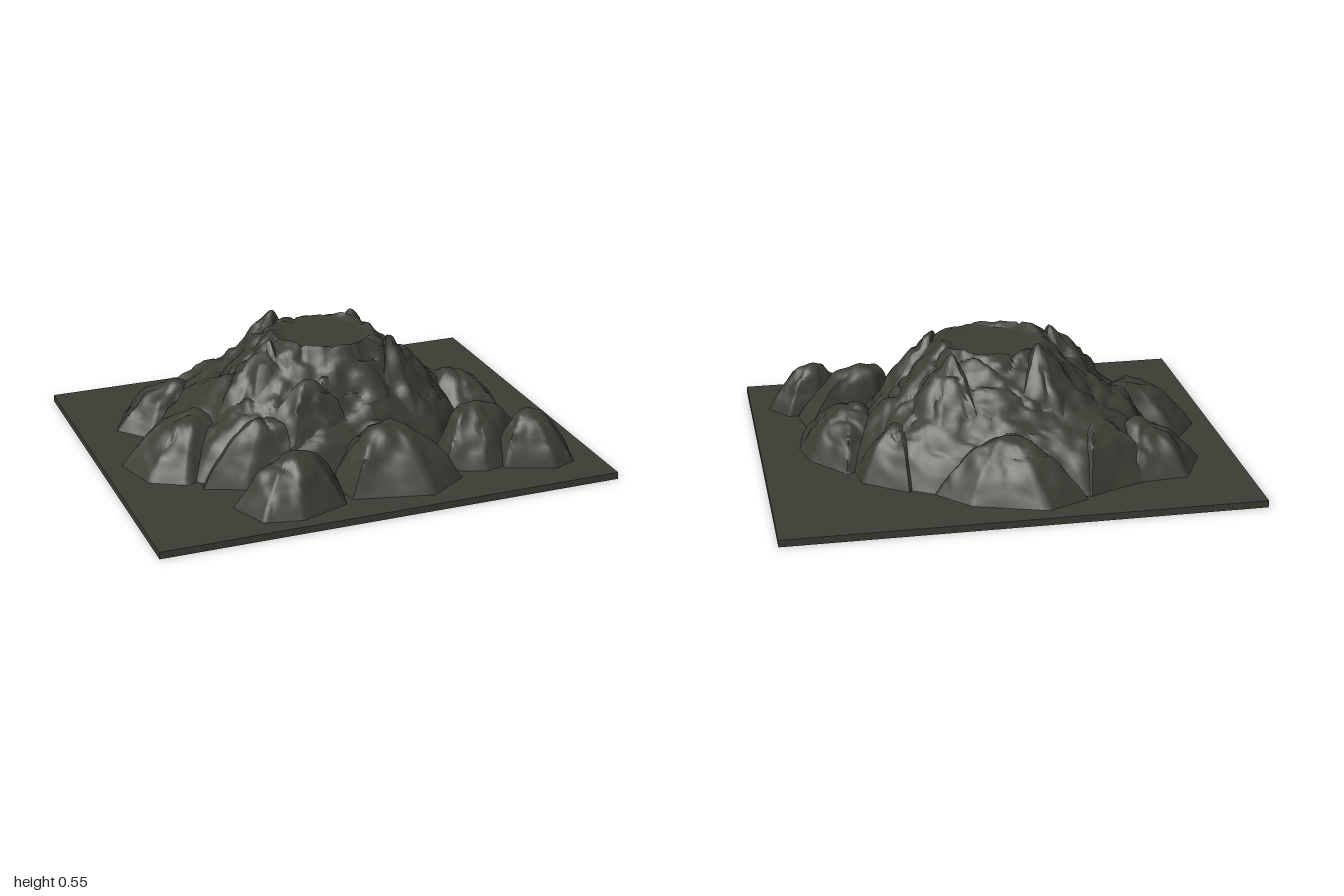
import * as THREE from 'three';
import { toCreasedNormals } from 'three/addons/utils/BufferGeometryUtils.js';

const GROUND = 0.03;
const stone = new THREE.MeshStandardMaterial({ color: 0x3d3c34 });
stone.name = 'dark stone';

// Seeded value noise, -1 to 1
function hash(x, y, z) {
  const s = Math.sin(x * 127.1 + y * 311.7 + z * 74.7) * 43758.5453;
  return (s - Math.floor(s)) * 2 - 1;
}
function noise(x, y, z) {
  const c = [x, y, z].map(Math.floor);
  const [u, v, w] = [x - c[0], y - c[1], z - c[2]].map((f) => f * f * (3 - 2 * f));
  let sum = 0;
  for (let i = 0; i < 8; i++) {
    const a = i & 1, b = (i >> 1) & 1, d = i >> 2;
    sum += hash(c[0] + a, c[1] + b, c[2] + d) * (a ? u : 1 - u) * (b ? v : 1 - v) * (d ? w : 1 - w);
  }
  return sum;
}
// Lumps cut by narrow cracks
function rough(x, y, z) {
  const crack = Math.max(0, 1 - Math.abs(noise(x * 9 + 4, y * 12, z * 9)) * 6);
  return 0.6 * noise(x * 9, y * 9, z * 9) + 0.5 * noise(x * 19, y * 19, z * 19) - 0.4 * crack;
}

// Straight-edged outline split into equal steps
function outlinePoints(outline, steps) {
  const out = [];
  outline.forEach(([x, z], i) => {
    const [nx, nz] = outline[(i + 1) % outline.length];
    for (let s = 0; s < steps; s++) out.push([x + ((nx - x) * s) / steps, z + ((nz - z) * s) / steps]);
  });
  return out;
}

// Skin from an inner circle out to an outline, with its height set by t (0 inside, 1 outside)
function mound(name, outline, centre, inner, rows, height, bump) {
  const rim = outlinePoints(outline, 10);
  const n = rim.length, pos = [], idx = [];
  for (let r = 0; r <= rows; r++) {
    const t = r / rows;
    for (const [ox, oz] of rim) {
      const a = Math.atan2(oz - centre[1], ox - centre[0]);
      const ix = centre[0] + inner * Math.cos(a), iz = centre[1] + inner * Math.sin(a);
      let x = ix + (ox - ix) * t, z = iz + (oz - iz) * t, y = height(t, a);
      const fade = Math.max(0, 1 - Math.pow(t, 3)) * (inner ? Math.min(1, t * 8) : 1);
      const k = rough(x, y, z) * bump * fade;
      x += k * 0.5 * Math.cos(a) * t;
      z += k * 0.5 * Math.sin(a) * t;
      pos.push(x, y + k, z);
    }
  }
  for (let r = 0; r < rows; r++) {
    for (let i = 0; i < n; i++) {
      const j = (i + 1) % n, a = r * n + i, b = r * n + j, c = a + n, d = b + n;
      if (r > 0 || inner) idx.push(a, b, c);
      idx.push(b, d, c);
    }
  }
  const g = new THREE.BufferGeometry();
  g.setAttribute('position', new THREE.Float32BufferAttribute(pos, 3));
  g.setIndex(idx);
  const mesh = new THREE.Mesh(toCreasedNormals(g, 1), stone);
  mesh.name = name;
  return mesh;
}

// Boulder standing on the plate; a low power gives a peak, a high one a dome
function boulder(name, top, centre, outline, power, bump) {
  return mound(name, outline, centre, 0, 24,
    (t) => GROUND + (top - GROUND) * (1 - Math.pow(t, power)), bump);
}
// Peak of a foot rock, leaning a little towards the summit
function leaningPeak(outline) {
  return [0, 1].map((k) => (0.94 * outline.reduce((s, p) => s + p[k], 0)) / outline.length);
}

// Steep flank of the cone, rim to foot
const flank = [[0, 0.492], [0.1, 0.512], [0.22, 0.47], [0.5, 0.34], [0.75, 0.23], [0.88, 0.15], [1, 0.03]];
function flankHeight(t, a) {
  let i = 0;
  while (i < flank.length - 2 && t > flank[i + 1][0]) i++;
  const [t0, y0] = flank[i], [t1, y1] = flank[i + 1];
  const gully = 0.025 * Math.abs(Math.sin(a * 4.5 + 0.6)) * Math.sin(Math.PI * t);
  return y0 + ((y1 - y0) * (t - t0)) / (t1 - t0) - gully;
}

export function createModel() {
  const group = new THREE.Group();
  group.name = 'rocky mound';

  // Base plate
  const plate = new THREE.Mesh(new THREE.BoxGeometry(2, GROUND, 1.66), stone);
  plate.name = 'base plate';
  plate.position.y = GROUND / 2;
  group.add(plate);

  // Central cone with a flat top
  const foot = [[0.64, 0], [0.58, 0.22], [0.42, 0.42], [0.1, 0.5], [-0.2, 0.48], [-0.5, 0.43], [-0.68, 0.28],
    [-0.74, 0], [-0.7, -0.25], [-0.56, -0.55], [-0.3, -0.65], [0, -0.6], [0.34, -0.51], [0.57, -0.38], [0.64, -0.2]];
  group.add(mound('central cone', foot, [0, 0], 0.165, 52, flankHeight, 0.04));
  const cap = new THREE.Mesh(new THREE.CircleGeometry(0.172, 48).rotateX(-Math.PI / 2), stone);
  cap.name = 'flat summit';
  cap.position.y = 0.494;
  group.add(cap);

  // Sloping shoulders around the summit: height, peak, outline
  const shoulders = [
    [0.51, [-0.27, 0.06], [[-0.18, -0.1], [-0.19, 0.08], [-0.14, 0.22], [-0.26, 0.44], [-0.52, 0.36], [-0.66, 0.14], [-0.6, -0.12], [-0.38, -0.22]]],
    [0.5, [0.24, 0.13], [[0.56, -0.05], [0.6, 0.14], [0.46, 0.34], [0.3, 0.46], [0.08, 0.44], [0.1, 0.22], [0.19, 0.05], [0.3, -0.1]]],
    [0.54, [-0.16, -0.21], [[0.02, -0.5], [0.02, -0.22], [-0.08, -0.17], [-0.2, -0.08], [-0.42, -0.14], [-0.5, -0.36], [-0.28, -0.56]]],
    [0.51, [0.2, -0.18], [[0.34, -0.48], [0.52, -0.3], [0.52, -0.06], [0.3, 0], [0.18, -0.06], [0.08, -0.17], [0, -0.3], [0.08, -0.52]]],
  ];
  shoulders.forEach(([h, c, o], i) => group.add(boulder('summit shoulder ' + (i + 1), h, c, o, 1.4, 0.036)));
  group.add(boulder('front ledge', 0.415, [-0.18, 0.29],
    [[0.06, 0.3], [0.06, 0.42], [-0.1, 0.45], [-0.34, 0.44], [-0.46, 0.3], [-0.3, 0.14], [-0.04, 0.19]], 1.8, 0.036));

  // Boulders around the foot
  const rocks = {
    'front right rock': [0.235, [[-0.12, 0.5], [-0.17, 0.7], [-0.38, 0.775], [-0.54, 0.74], [-0.61, 0.57], [-0.53, 0.49], [-0.3, 0.42]]],
    'front middle rock': [0.28, [[0.31, 0.42], [0.37, 0.64], [0.2, 0.75], [-0.13, 0.67], [-0.16, 0.5], [-0.1, 0.37], [0.15, 0.35]]],
    'front left rock': [0.265, [[0.77, 0.25], [0.8, 0.42], [0.58, 0.6], [0.5, 0.62], [0.33, 0.56], [0.32, 0.42], [0.42, 0.32]]],
    'corner rock': [0.255, [[0.84, 0.43], [0.92, 0.53], [0.88, 0.66], [0.78, 0.7], [0.58, 0.62], [0.56, 0.52], [0.7, 0.43]]],
    'left rock': [0.24, [[0.66, -0.25], [0.8, -0.08], [0.83, 0.05], [0.8, 0.22], [0.55, 0.22], [0.42, 0.1], [0.45, -0.18]]],
    'back left rock': [0.25, [[0.43, -0.48], [0.61, -0.35], [0.62, -0.24], [0.52, -0.12], [0.35, -0.15], [0.3, -0.35]]],
    'back rock': [0.255, [[-0.1, -0.76], [0.2, -0.66], [0.33, -0.52], [0.25, -0.36], [0, -0.32], [-0.22, -0.42], [-0.28, -0.68]]],
    'back right rock': [0.22, [[-0.74, -0.54], [-0.5, -0.56], [-0.38, -0.35], [-0.5, -0.2], [-0.73, -0.21], [-0.84, -0.34]]],
    'right rock': [0.25, [[-0.8, -0.15], [-0.5, -0.15], [-0.35, 0.05], [-0.4, 0.2], [-0.72, 0.3], [-0.86, 0.22], [-0.92, 0.02]]],
    'inner front rock': [0.28, [[-0.6, 0.2], [-0.3, 0.16], [-0.12, 0.3], [-0.17, 0.46], [-0.5, 0.43], [-0.67, 0.36]]],
    'inner back rock': [0.27, [[-0.3, -0.66], [-0.15, -0.45], [-0.3, -0.25], [-0.55, -0.3], [-0.62, -0.5]]],
  };
  for (const [name, [h, o]] of Object.entries(rocks)) group.add(boulder(name, h, leaningPeak(o), o, 2, 0.024));

  return group;
}
